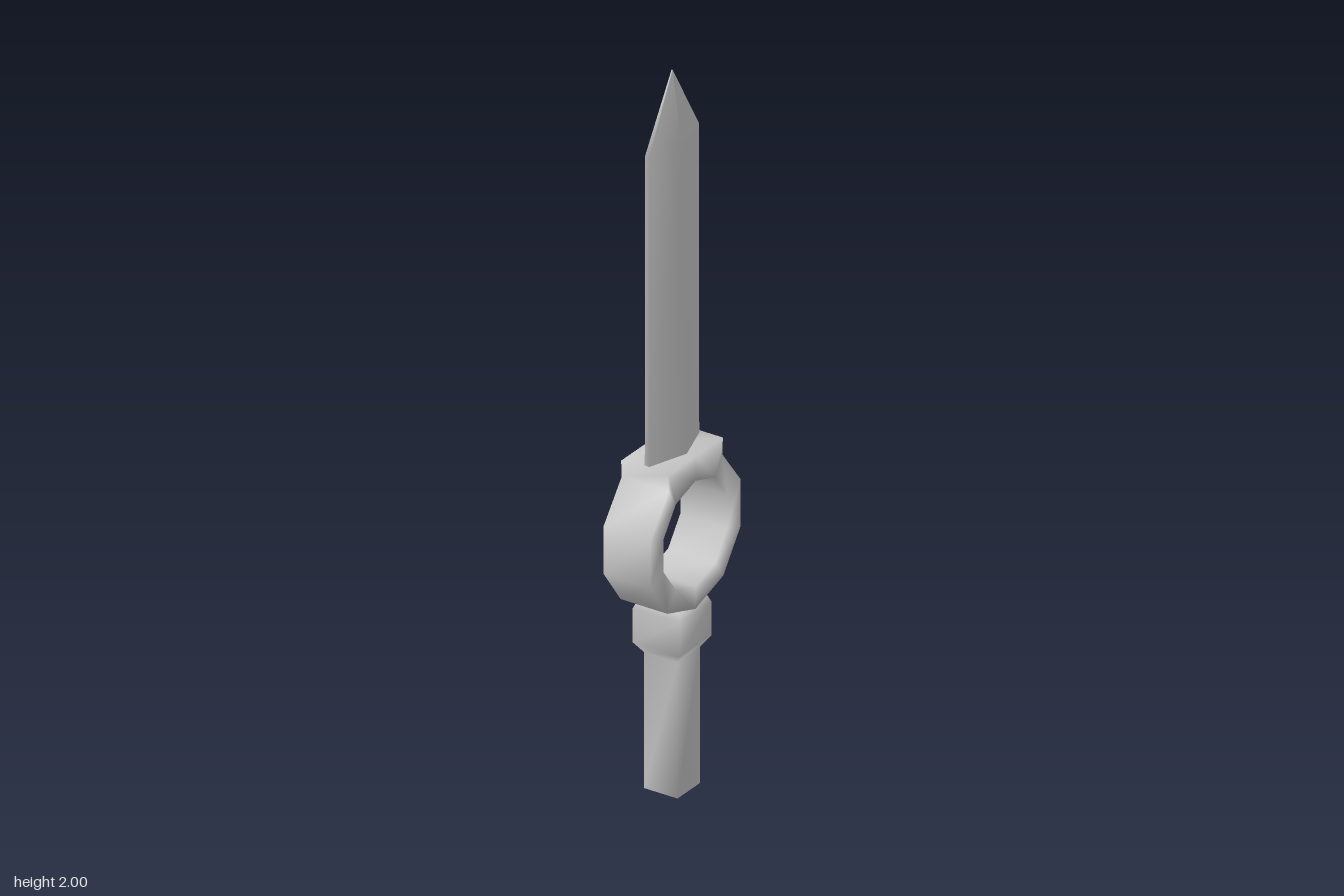
import * as THREE from 'three';

const material = new THREE.MeshStandardMaterial({ color: 0xcccccc });

// Smooth skin over a list of cross-sections (each a list of [x, y, z] corners)
function loft(name, sections, { loop = false, capStart = false, capEnd = false } = {}) {
  const n = sections[0].length;
  const count = sections.length;
  const index = [];
  const id = (i, j) => (i % count) * n + (j % n);
  for (let i = 0; i < (loop ? count : count - 1); i++) {
    for (let j = 0; j < n; j++) {
      const a = id(i, j), b = id(i, j + 1), c = id(i + 1, j + 1), d = id(i + 1, j);
      index.push(a, b, c, a, c, d);
    }
  }
  for (let j = 1; j < n - 1; j++) {
    if (capStart) index.push(id(0, 0), id(0, j + 1), id(0, j));
    if (capEnd) index.push(id(count - 1, 0), id(count - 1, j), id(count - 1, j + 1));
  }
  const geometry = new THREE.BufferGeometry();
  geometry.setAttribute('position', new THREE.Float32BufferAttribute(sections.flat(2), 3));
  geometry.setIndex(index);
  geometry.computeVertexNormals();
  const mesh = new THREE.Mesh(geometry, material);
  mesh.name = name;
  return mesh;
}

// Square grip that flares into a chamfered collar
function createHandle() {
  const profile = [[0.05, 0], [0.05, 0.38], [0.07, 0.41], [0.07, 0.505], [0.058, 0.535]];
  const sections = profile.map(([r, y]) => [[r, y, r], [r, y, -r], [-r, y, -r], [-r, y, r]]);
  return loft('handle', sections, { capStart: true, capEnd: true });
}

// Ten-sided ring with a flat shoulder on top that carries the blade
function createRing() {
  const cy = 0.724, outer = 0.21, inner = 0.148, half = 0.07;
  const section = (angle, oz, oy) => {
    const iy = cy + inner * Math.cos(angle);
    const iz = inner * Math.sin(angle);
    return [[half, oy, oz], [-half, oy, oz], [-half, iy, iz], [half, iy, iz]];
  };
  const sections = [];
  for (let k = 0; k < 10; k++) {
    const angle = k * Math.PI / 5;
    const z = outer * Math.sin(angle), y = cy + outer * Math.cos(angle);
    const shoulder = section(angle, Math.sign(z) * 0.121, 0.94);
    if (k === 0) sections.push(section(angle, 0, 0.94));
    else if (k === 1) sections.push(shoulder, section(angle, z * 0.96, y));
    else if (k === 9) sections.push(section(angle, z * 0.96, y), shoulder);
    else sections.push(section(angle, z, y));
  }
  return loft('ring', sections, { loop: true });
}

// Tapering diamond blade with narrow blunt edges
function createBlade() {
  const section = (y, ridge, edge, z) => [
    [ridge, y, 0], [edge, y, -z], [-edge, y, -z],
    [-ridge, y, 0], [-edge, y, z], [edge, y, z],
  ];
  return loft('blade', [
    section(0.935, 0.044, 0.007, 0.11),
    section(1.805, 0.028, 0.006, 0.11),
    section(2, 0.002, 0.001, 0.001),
  ], { capStart: true, capEnd: true });
}

export function createModel() {
  const model = new THREE.Group();
  model.name = 'dagger';
  model.add(createHandle(), createRing(), createBlade());
  return model;
}
